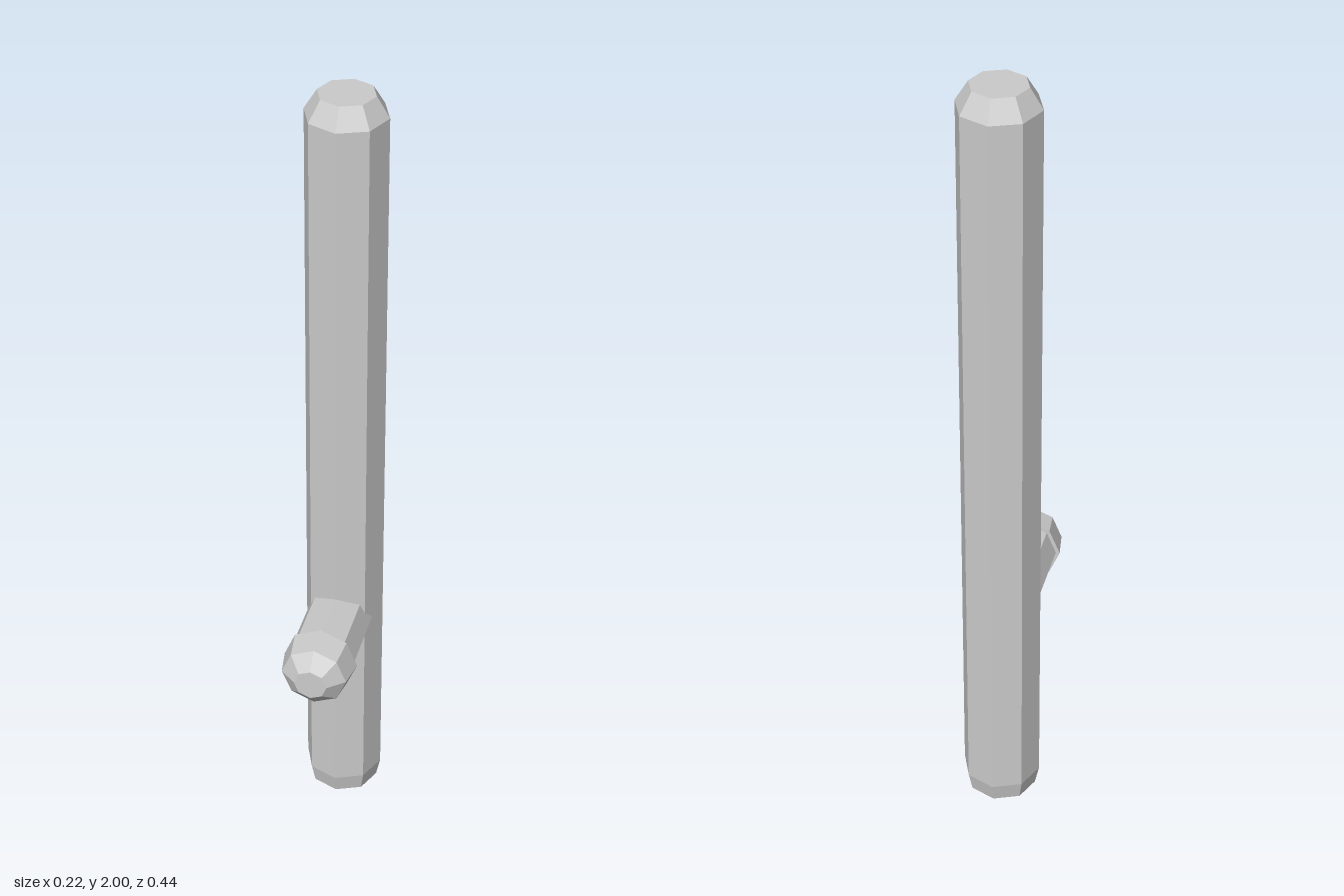
import * as THREE from 'three';

const SIDES = 8;
const TURN = 0.125; // shared slight turn about the vertical

// Faceted solid turned from [radius, height] pairs, listed bottom to top
function turned(name, profile) {
  const points = profile.map(([r, y]) => new THREE.Vector2(r, y));
  const material = new THREE.MeshStandardMaterial({ color: 0xcccccc, flatShading: true });
  const mesh = new THREE.Mesh(new THREE.LatheGeometry(points, SIDES), material);
  mesh.name = name;
  return mesh;
}

export function createModel() {
  const model = new THREE.Group();
  model.name = 'poleWithPeg';

  // Upright pole with chamfered ends
  const pole = turned('pole', [
    [0, 0], [0.088, 0], [0.0985, 0.05], [0.0985, 1.95], [0.068, 2], [0, 2],
  ]);
  pole.position.set(-0.0125, 0, -0.122);
  pole.rotation.y = TURN;
  model.add(pole);

  // Side peg, running from the pole's core out to the front
  const handle = new THREE.Group();
  handle.name = 'sideHandle';
  handle.position.set(-0.0125, 0.57, -0.122);
  handle.rotation.y = TURN;

  const peg = turned('peg', [[0, 0], [0.082, 0], [0.082, 0.25], [0, 0.25]]);

  // Wider tapered cap on the free end
  const cap = turned('cap', [
    [0, 0.235], [0.092, 0.235], [0.081, 0.302], [0.041, 0.336], [0, 0.336],
  ]);

  for (const part of [peg, cap]) {
    part.rotation.x = Math.PI / 2;
    handle.add(part);
  }
  model.add(handle);

  return model;
}
